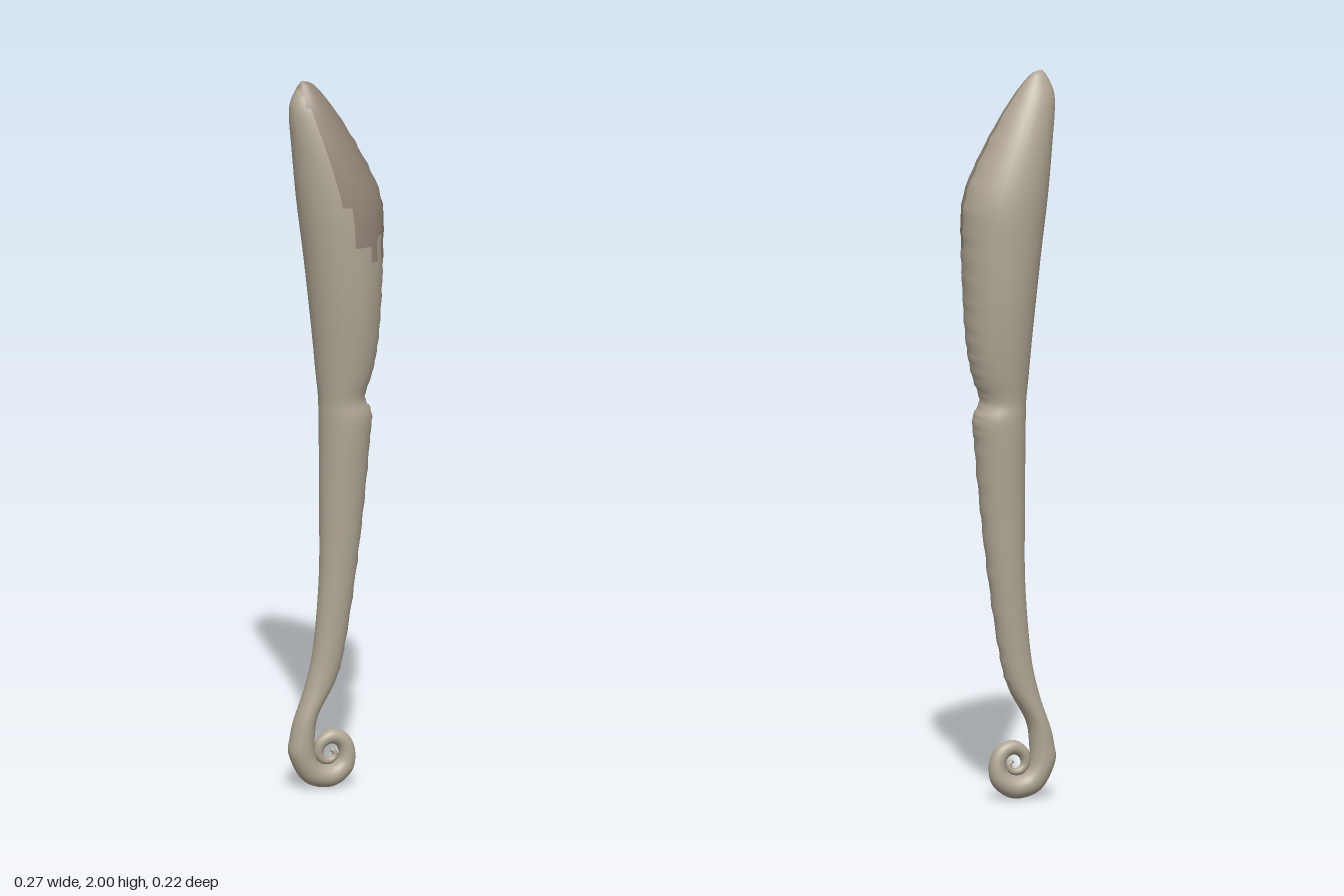
import * as THREE from 'three';

// Cross-sections down the body: [left x, left y, right x, right y, half depth]
const BODY = [
  [-0.098, 2.0, -0.094, 2.0, 0.001],
  [-0.115, 1.975, -0.062, 1.985, 0.02],
  [-0.132, 1.92, -0.01, 1.92, 0.052],
  [-0.122, 1.8, 0.062, 1.8, 0.087],
  [-0.108, 1.66, 0.125, 1.66, 0.108],
  [-0.09, 1.52, 0.131, 1.52, 0.107],
  [-0.074, 1.38, 0.126, 1.38, 0.1],
  [-0.062, 1.26, 0.118, 1.26, 0.088],
  [-0.054, 1.17, 0.102, 1.17, 0.076],
  [-0.047, 1.1, 0.08, 1.1, 0.066],
  [-0.046, 1.05, 0.1, 1.05, 0.07],
  [-0.045, 0.97, 0.094, 0.97, 0.067],
  [-0.045, 0.8, 0.079, 0.8, 0.056],
  [-0.046, 0.6, 0.055, 0.6, 0.046],
  [-0.063, 0.4, 0.026, 0.41, 0.038],
  [-0.087, 0.29, 0.0, 0.31, 0.036],
  [-0.118, 0.2, -0.05, 0.22, 0.036],
  [-0.13, 0.15, -0.062, 0.16, 0.036],
];

// Tail coil, one entry per quarter turn: [centreline radius, tube radius]
const COIL = [
  [0.082, 0.036], [0.065, 0.031], [0.047, 0.023], [0.045, 0.02],
  [0.034, 0.013], [0.022, 0.01], [0.012, 0.008], [0.005, 0.004],
];
const COIL_CENTRE = [-0.015, 0.1];
const SIDES = 28;
const STEPS = 6;

function sections() {
  const rows = BODY.slice();
  for (let k = 0; k <= (COIL.length - 1) * 2; k++) {
    const q = k / 2, i = Math.floor(q), f = q - i;
    const a = COIL[i], b = COIL[Math.min(i + 1, COIL.length - 1)];
    const r = THREE.MathUtils.lerp(a[0], b[0], f);
    const tube = THREE.MathUtils.lerp(a[1], b[1], f);
    const t = Math.PI + q * Math.PI / 2;
    const c = Math.cos(t), s = Math.sin(t), [cx, cy] = COIL_CENTRE;
    rows.push([cx + c * (r + tube), cy + s * (r + tube), cx + c * (r - tube), cy + s * (r - tube), tube]);
  }
  const [lx, ly, rx, ry] = rows[rows.length - 1];
  const mx = (lx + rx) / 2, my = (ly + ry) / 2;
  rows.push([mx, my, mx, my, 0.0001]);
  return rows;
}

// Smooth loft through the sections, returned as points plus faces for skin and patch
function buildLoft() {
  const rows = sections();
  const curve = (f) => new THREE.CatmullRomCurve3(rows.map(f), false, 'catmullrom', 0.5);
  const left = curve((r) => new THREE.Vector3(r[0], r[1], r[4]));
  const right = curve((r) => new THREE.Vector3(r[2], r[3], r[4]));
  const n = (rows.length - 1) * STEPS;
  const pos = [], skin = [], patch = [];
  for (let i = 0; i <= n; i++) {
    const L = left.getPoint(i / n), R = right.getPoint(i / n);
    // slight wrinkles along the right-hand ridge
    const wrinkle = R.y > 0.3 && R.y < 1.9 ? 0.0025 * Math.sin(i * 2.3) : 0;
    for (let j = 0; j < SIDES; j++) {
      const t = (j / SIDES) * Math.PI * 2, c = Math.cos(t);
      pos.push(
        (L.x + R.x) / 2 + ((R.x - L.x) / 2) * c + wrinkle * Math.max(0, c) ** 8,
        (L.y + R.y) / 2 + ((R.y - L.y) / 2) * c,
        Math.max(L.z, 0.0001) * Math.sin(t));
    }
  }
  for (let i = 0; i < n; i++) {
    for (let j = 0; j < SIDES; j++) {
      const k = (j + 1) % SIDES;
      const a = i * SIDES + j, d = i * SIDES + k, b = a + SIDES, c = d + SIDES;
      const x = (pos[a * 3] + pos[c * 3]) / 2, y = (pos[a * 3 + 1] + pos[c * 3 + 1]) / 2;
      // darker front patch with a ragged lower edge
      const onPatch = j < SIDES / 2 && y > 1.53 + 0.04 * Math.sin(j * 2.6)
        && x > -0.1 + (1.95 - y) * 0.33;
      (onPatch ? patch : skin).push(a, d, b, d, c, b);
    }
  }
  return { pos, skin, patch };
}

export function createModel() {
  const group = new THREE.Group();
  group.name = 'curledBody';
  const { pos, skin, patch } = buildLoft();

  // Normals come from the whole surface so the two parts meet smoothly
  const whole = new THREE.BufferGeometry();
  whole.setAttribute('position', new THREE.Float32BufferAttribute(pos, 3));
  whole.setIndex([...skin, ...patch]);
  whole.computeVertexNormals();

  const addPart = (name, index, color) => {
    const geometry = new THREE.BufferGeometry();
    geometry.setAttribute('position', whole.getAttribute('position'));
    geometry.setAttribute('normal', whole.getAttribute('normal'));
    geometry.setIndex(index);
    const mesh = new THREE.Mesh(geometry, new THREE.MeshStandardMaterial({ color }));
    mesh.name = name;
    group.add(mesh);
  };
  addPart('bodyAndCoiledTail', skin, 0xb0a694);
  addPart('frontPatch', patch, 0x958779);
  return group;
}
